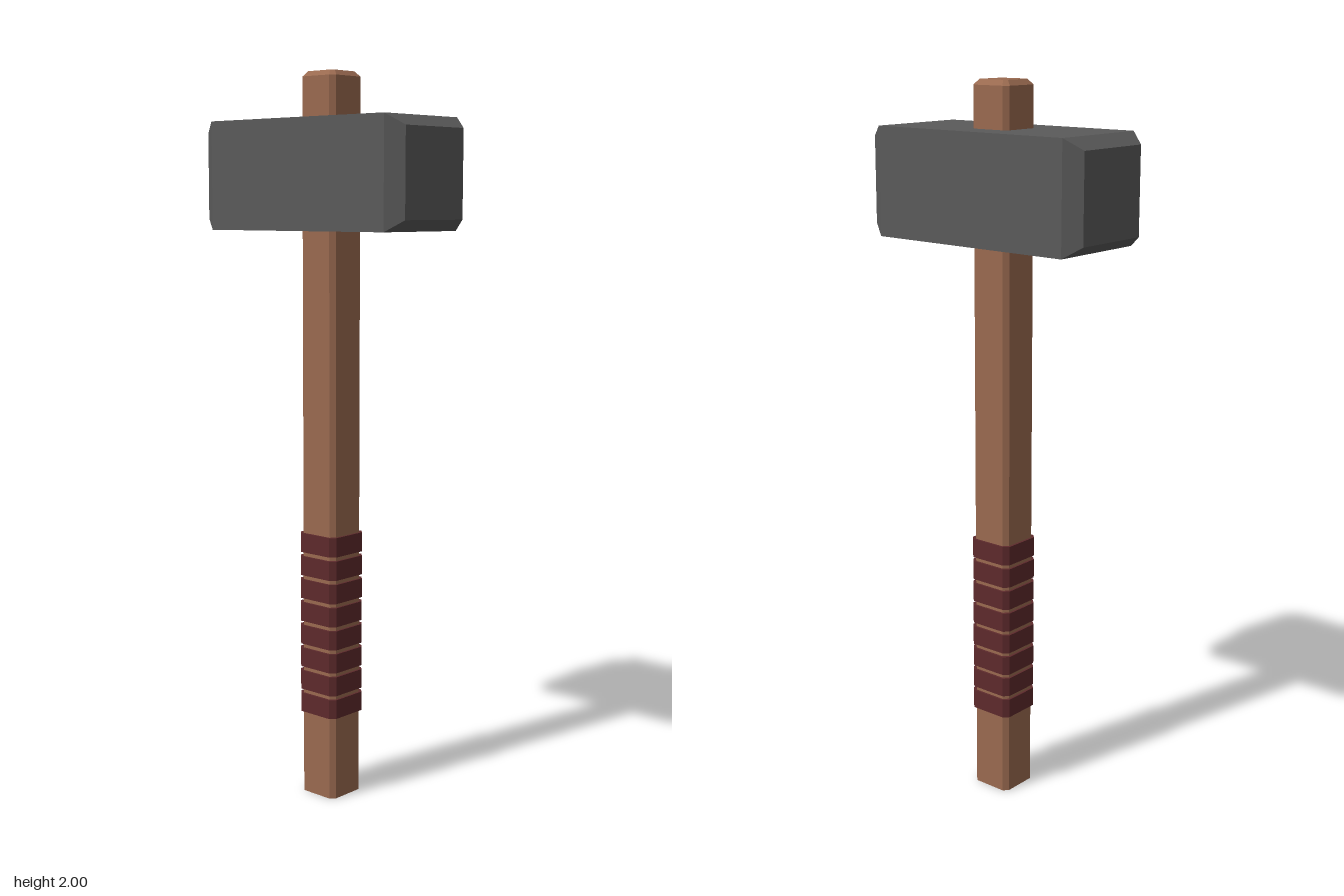
import * as THREE from 'three';

const wood = new THREE.MeshStandardMaterial({ name: 'wood', color: 0x9a6a50 });
const iron = new THREE.MeshStandardMaterial({ name: 'dark iron', color: 0x5a5a5a });
const leather = new THREE.MeshStandardMaterial({ name: 'leather', color: 0x5e2a2c });

// Square cross-section with optional cut corners, at height y
function ring(y, half, cut = 0) {
  const points = [];
  for (const [sx, sz] of [[1, 1], [-1, 1], [-1, -1], [1, -1]]) {
    const alongX = new THREE.Vector3(sx * (half - cut), y, sz * half);
    const alongZ = new THREE.Vector3(sx * half, y, sz * (half - cut));
    if (cut === 0) points.push(alongX);
    else if (sx * sz > 0) points.push(alongZ, alongX);
    else points.push(alongX, alongZ);
  }
  return points;
}

// Faceted solid through a stack of rings, closed at both ends
function loft(rings) {
  const corners = [];
  const n = rings[0].length;
  for (let r = 0; r < rings.length - 1; r++) {
    const low = rings[r], high = rings[r + 1];
    for (let i = 0; i < n; i++) {
      const j = (i + 1) % n;
      corners.push(low[i], high[i], high[j], low[i], high[j], low[j]);
    }
  }
  const bottom = rings[0], top = rings[rings.length - 1];
  for (let i = 1; i < n - 1; i++) {
    corners.push(bottom[0], bottom[i], bottom[i + 1]);
    corners.push(top[0], top[i + 1], top[i]);
  }
  const geometry = new THREE.BufferGeometry().setFromPoints(corners);
  geometry.computeVertexNormals();
  return geometry;
}

function addPart(parent, name, geometry, material) {
  const mesh = new THREE.Mesh(geometry, material);
  mesh.name = name;
  parent.add(mesh);
  return mesh;
}

export function createModel() {
  const model = new THREE.Group();
  model.name = 'hammer';

  // Handle with cut corners and a bevelled top
  addPart(model, 'handle', loft([
    ring(0, 0.061, 0.013),
    ring(1.986, 0.061, 0.013),
    ring(2, 0.048, 0.009),
  ]), wood);

  // Head lying along x, tapering at both striking faces
  const headShape = loft([
    ring(-0.355, 0.117),
    ring(-0.31, 0.147),
    ring(0.31, 0.147),
    ring(0.355, 0.117),
  ]).rotateZ(-Math.PI / 2);
  addPart(model, 'head', headShape, iron).position.y = 1.728;

  // Evenly spaced leather bands around the grip
  const grip = new THREE.Group();
  grip.name = 'grip';
  model.add(grip);
  const bandShape = loft([ring(0, 0.067, 0.014), ring(0.054, 0.067, 0.014)]);
  for (let i = 0; i < 8; i++) {
    addPart(grip, `gripBand${i + 1}`, bandShape, leather).position.y = 0.235 + i * 0.0657;
  }

  return model;
}
